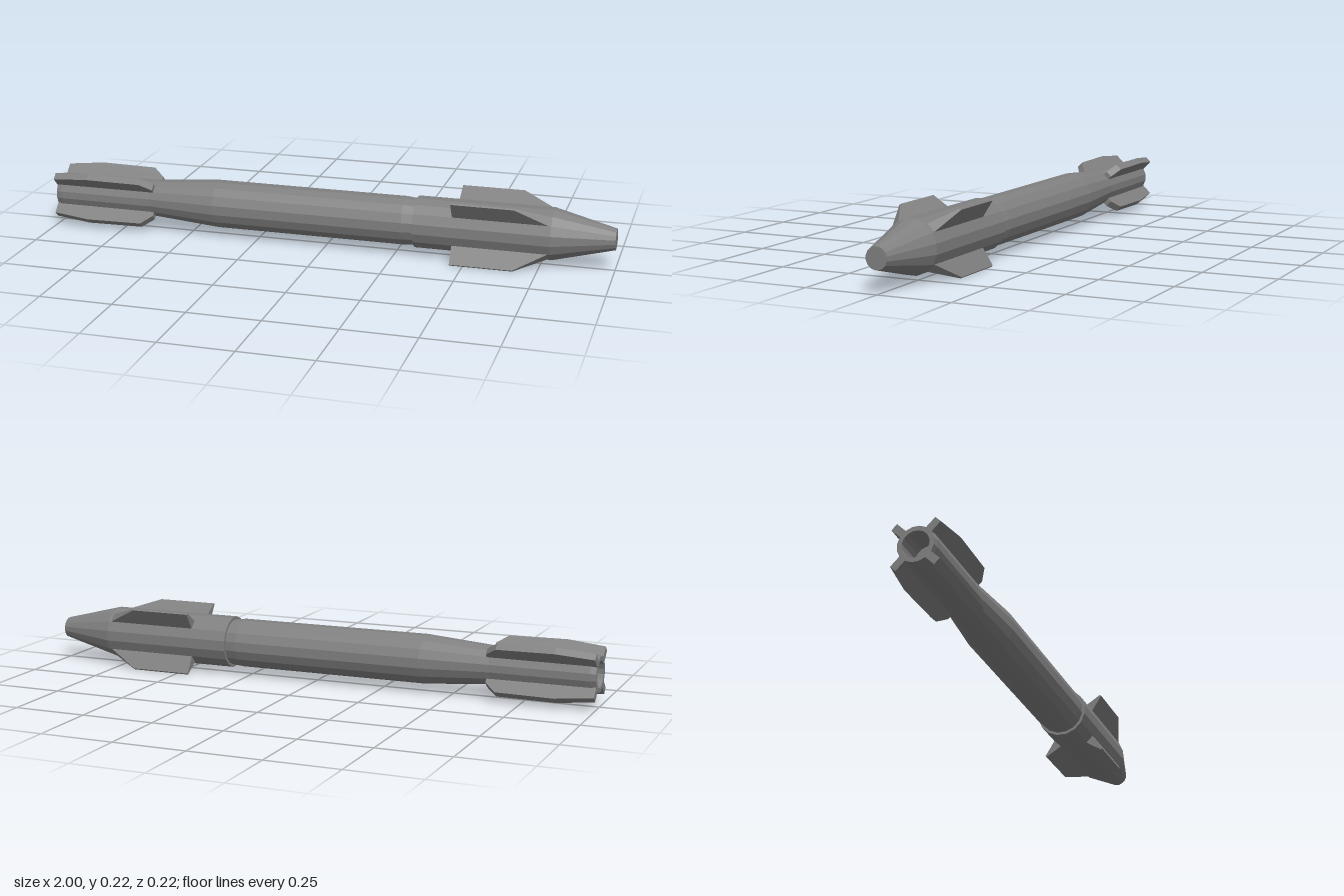
import * as THREE from 'three';
import { ConvexGeometry } from 'three/addons/geometries/ConvexGeometry.js';

const SIDES = 16;
const AXIS_Y = 0.1105;

// Faceted solid of revolution along x, from [x, flat-to-centre radius] pairs
function turned(name, profile, material) {
  const k = 1 / Math.cos(Math.PI / SIDES);
  const points = profile.map(([x, r]) => new THREE.Vector2(r * k, x));
  const geometry = new THREE.LatheGeometry(points, SIDES, Math.PI / SIDES);
  geometry.rotateZ(-Math.PI / 2);
  const mesh = new THREE.Mesh(geometry, material);
  mesh.name = name;
  return mesh;
}

// Four diagonal fins from an outline of [x, radius, half thickness]
function finSet(name, outline, material) {
  const points = outline.flatMap(([x, r, t]) => [
    new THREE.Vector3(x, r, t),
    new THREE.Vector3(x, r, -t),
  ]);
  const geometry = new ConvexGeometry(points);
  const set = new THREE.Group();
  set.name = name + 's';
  for (let i = 0; i < 4; i++) {
    const fin = new THREE.Mesh(geometry, material);
    fin.name = name;
    fin.rotation.x = Math.PI / 4 + (i * Math.PI) / 2;
    set.add(fin);
  }
  return set;
}

export function createModel() {
  const metal = new THREE.MeshStandardMaterial({ color: 0x808080, flatShading: true });
  metal.name = 'grey metal';

  const model = new THREE.Group();
  model.name = 'missile';
  const body = new THREE.Group();
  body.name = 'missileBody';
  body.position.y = AXIS_Y;
  model.add(body);

  // Rear body with hollow exhaust, tapering out to the main tube
  body.add(turned('mainBody', [
    [-0.9, 0], [-0.9, 0.045], [-1, 0.045], [-1, 0.06],
    [-0.98, 0.063], [-0.64, 0.064], [-0.4, 0.083],
    [0.28, 0.083], [0.32, 0.079], [0.32, 0],
  ], metal));

  // Front section and blunt nose cone
  body.add(turned('noseSection', [
    [0.32, 0], [0.32, 0.0885], [0.79, 0.0885], [1, 0.036], [1, 0],
  ], metal));

  // Thick plate fins at the tail
  const t = 0.0127;
  body.add(finSet('tailFin', [
    [-1, 0.05, t], [-1, 0.101, t], [-0.87, 0.117, t],
    [-0.67, 0.114, t], [-0.63, 0.08, t], [-0.63, 0.05, t],
  ], metal));

  // Wedge-shaped fins near the nose, thin at the tip
  body.add(finSet('frontFin', [
    [0.455, 0.08, 0.0192], [0.455, 0.153, 0.003],
    [0.67, 0.153, 0.003], [0.795, 0.08, 0.0192],
  ], metal));

  return model;
}
